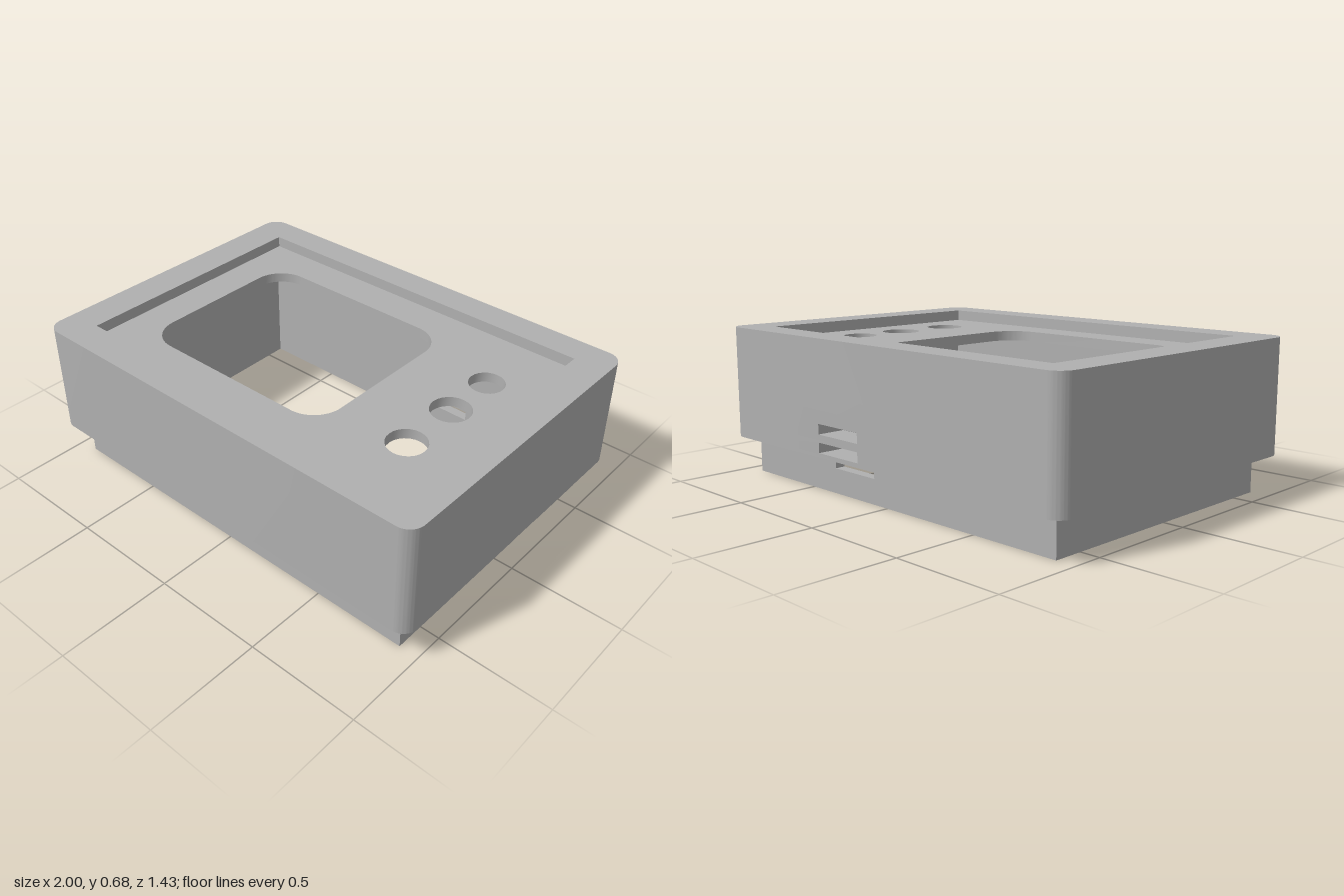
import * as THREE from 'three';
import { mergeGeometries, toCreasedNormals } from 'three/addons/utils/BufferGeometryUtils.js';

// Drawing planes: u, v and the outward axis w = u x v
const plane = (u, v) => {
  const a = new THREE.Vector3(...u), b = new THREE.Vector3(...v);
  return new THREE.Matrix4().makeBasis(a, b, a.clone().cross(b));
};
const UP = plane([1, 0, 0], [0, 0, -1]);
const BACK = plane([-1, 0, 0], [0, 1, 0]);
const RIGHT = plane([0, 0, -1], [0, 1, 0]);

const poly = (pts) => new THREE.Shape(pts.map(([x, y]) => new THREE.Vector2(x, y)));
const rect = (x0, y0, x1, y1) => poly([[x0, y1], [x0, y0], [x1, y0], [x1, y1]]);

// Rounded rectangle, starting and ending on its upper edge
function rounded(x0, y0, x1, y1, r) {
  const s = new THREE.Shape();
  s.moveTo(x0 + r, y1);
  s.absarc(x0 + r, y1 - r, r, Math.PI / 2, Math.PI, false);
  s.absarc(x0 + r, y0 + r, r, Math.PI, Math.PI * 1.5, false);
  s.absarc(x1 - r, y0 + r, r, Math.PI * 1.5, Math.PI * 2, false);
  s.absarc(x1 - r, y1 - r, r, 0, Math.PI / 2, false);
  return s;
}
function circle(x, y, r) {
  const s = new THREE.Shape();
  s.absarc(x, y, r, 0, Math.PI * 2, false);
  return s;
}

// Flat face at distance w, optionally with holes or facing the other way
function face(basis, shape, w, holes = [], flip = false) {
  const s = new THREE.Shape(shape.getPoints(12));
  s.holes = holes.map((h) => new THREE.Path(h.getPoints(12)));
  const g = new THREE.ShapeGeometry(s);
  if (flip) g.setIndex([...g.index.array].reverse());
  g.translate(0, 0, w).applyMatrix4(basis);
  const flat = g.toNonIndexed();
  flat.deleteAttribute('uv');
  flat.computeVertexNormals();
  return flat;
}

// Wall swept along w from an outline; inward walls face the middle
function wall(basis, shape, w0, w1, { closed = true, inward = false } = {}) {
  const p = shape.getPoints(12);
  if (closed && p[0].distanceTo(p[p.length - 1]) > 1e-5) p.push(p[0]);
  if (inward) p.reverse();
  const pos = [];
  for (let i = 0; i < p.length - 1; i++) {
    const a = p[i], b = p[i + 1];
    if (a.distanceTo(b) < 1e-6) continue;
    pos.push(a.x, a.y, w0, b.x, b.y, w0, b.x, b.y, w1, a.x, a.y, w0, b.x, b.y, w1, a.x, a.y, w1);
  }
  const g = new THREE.BufferGeometry();
  g.setAttribute('position', new THREE.Float32BufferAttribute(pos, 3));
  g.applyMatrix4(basis);
  g.computeVertexNormals();
  return g;
}

export function createModel() {
  const group = new THREE.Group();
  group.name = 'enclosure';
  const grey = new THREE.MeshStandardMaterial({ color: 0xb0b0b0 });
  grey.name = 'grey plastic';
  const add = (name, parts) => {
    const mesh = new THREE.Mesh(toCreasedNormals(mergeGeometries(parts), 0.6), grey);
    mesh.name = name;
    group.add(mesh);
  };

  // Main sizes
  const X = 1, Z = 0.714, R = 0.07;          // upper body
  const bx = 0.913, bz = 0.63;               // stepped base
  const ix = 0.868, iz = 0.585;              // cavity
  const step = 0.17, ceiling = 0.58, panelY = 0.625, top = 0.675;

  const body = rounded(-X, -Z, X, Z, R);
  const base = rect(-bx, -bz, bx, bz);
  const cavity = rect(-ix, -iz, ix, iz);
  const recess = rect(-0.845, -0.567, 0.845, 0.577);
  const openings = [
    rounded(-0.685, -0.415, 0.305, 0.412, 0.14),
    circle(0.637, 0.253, 0.077), circle(0.637, 0.005, 0.087), circle(0.637, -0.277, 0.085),
  ];
  const slots = [0.27, 0.19, 0.11].map((y) => rect(-0.34, y, -0.08, y + 0.045));

  // Upper body with two vent slots in the back
  add('upperBody', [
    wall(UP, body, step, top, { closed: false }),
    face(BACK, rect(-X + R, step, X - R, top), Z, slots.slice(0, 2)),
    face(UP, body, top, [recess]),
    face(UP, body, step, [base], true),
  ]);

  // Sunken top panel with window and three button holes
  add('topPanel', [
    wall(UP, recess, panelY, top, { inward: true }),
    face(UP, recess, panelY, openings),
    face(UP, cavity, ceiling, openings, true),
    ...openings.map((o) => wall(UP, o, ceiling, panelY, { inward: true })),
  ]);

  // Side wall outline with the cable notch cut from its lower edge
  const n0 = 0.16, n1 = 0.3, nh = 0.06;
  const notched = (z, h) => poly([[-z, h], [-z, 0], [n0, 0], [n0, nh], [n1, nh], [n1, 0], [z, 0], [z, h]]);
  const corner = (x, z) => poly([[-x, z], [-x, -z], [x, -z]]);

  // Base skirt, broken at the notch
  add('base', [
    wall(UP, corner(bx, bz), 0, step, { closed: false }),
    face(BACK, rect(-bx, 0, bx, step), bz, slots.slice(2)),
    face(RIGHT, notched(bz, step), bx),
    face(UP, poly([[bx, n0], [ix, n0], [ix, -iz], [-ix, -iz], [-ix, iz], [ix, iz], [ix, n1],
      [bx, n1], [bx, bz], [-bx, bz], [-bx, -bz], [bx, -bz]]), 0, [], true),
  ]);

  // Inside of the hollow body
  add('cavityWalls', [
    wall(UP, corner(ix, iz), 0, ceiling, { closed: false, inward: true }),
    face(BACK, rect(-ix, 0, ix, ceiling), iz, slots, true),
    face(RIGHT, notched(iz, ceiling), ix, [], true),
  ]);

  // Tunnels through the walls
  add('ventSlots', slots.map((s, i) => wall(BACK, s, iz, i < 2 ? Z : bz, { inward: true })));
  add('cableNotch', [
    wall(RIGHT, poly([[n1, 0], [n1, nh], [n0, nh], [n0, 0]]), ix, bx, { closed: false, inward: true }),
  ]);
  return group;
}
